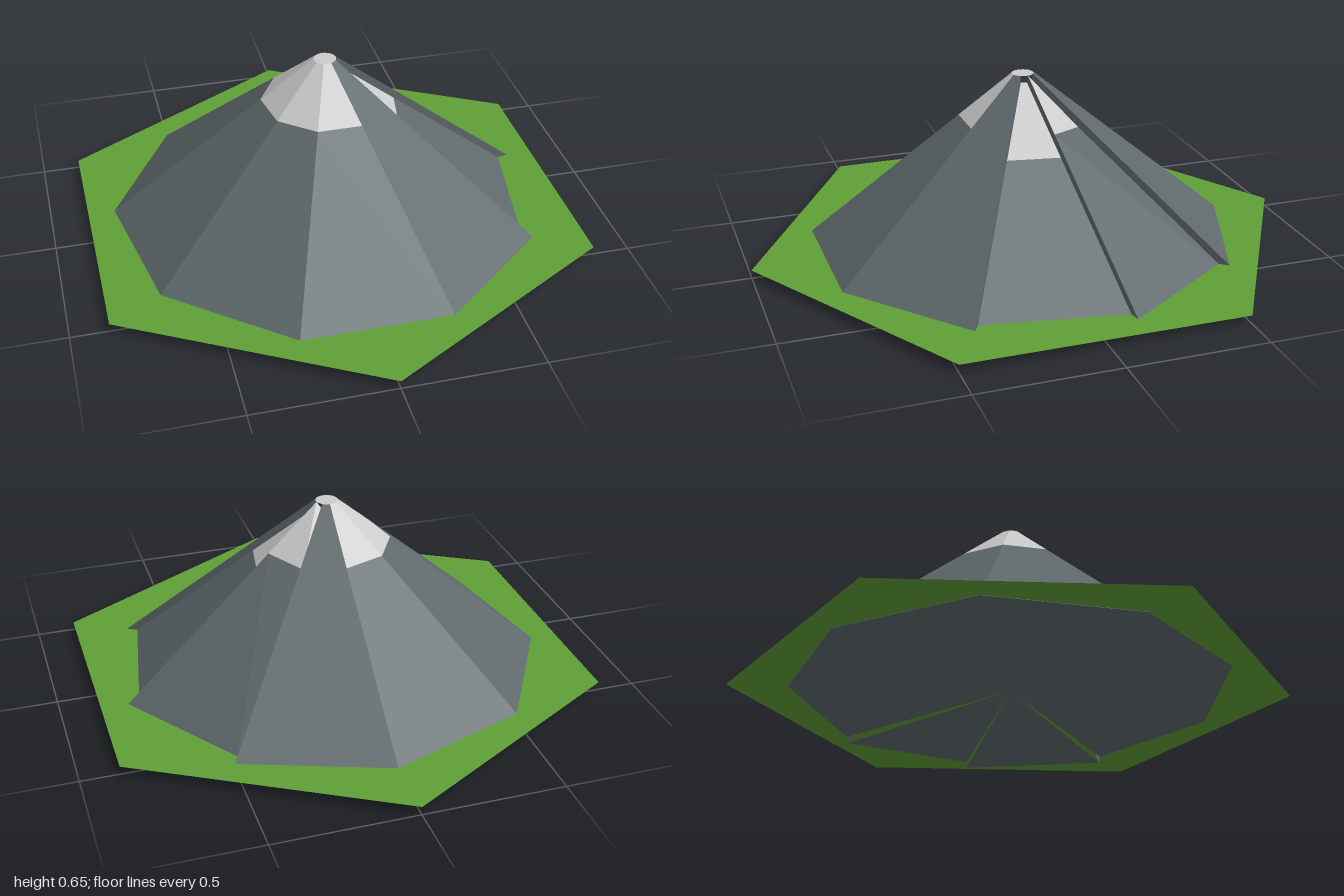
import * as THREE from 'three';

const SIDES = 9, TOP_R = 0.04, BASE_R = 0.785, TOP_Y = 0.65, BASE_Y = 0.027, GROUND_Y = 0.03;

// Point on the mountain edge k, a fraction t of the way down, lowered by drop
function edgePoint(k, t, drop = 0) {
  const a = THREE.MathUtils.degToRad(-90 + 40 * k);
  const r = THREE.MathUtils.lerp(TOP_R, BASE_R, t) - drop * 0.3;
  const y = THREE.MathUtils.lerp(TOP_Y, BASE_Y, t) - drop;
  return new THREE.Vector3(r * Math.cos(a), y, r * Math.sin(a));
}

// Edge profile from top to bottom, with the snow line at t
const profile = (k, t, drop) => [0, t, 1].map((f) => edgePoint(k, f, drop));

function facetMesh(name, points, color, side = THREE.FrontSide) {
  const geometry = new THREE.BufferGeometry().setFromPoints(points);
  geometry.computeVertexNormals();
  const mesh = new THREE.Mesh(geometry, new THREE.MeshStandardMaterial({ color, side, flatShading: true }));
  mesh.name = name;
  return mesh;
}

export function createModel() {
  const group = new THREE.Group();
  group.name = 'mountainTile';
  const ROCK = 0x5f696c, SNOW = 0xcccccc, GRASS = 0x5f9f35;
  const rock = [], snow = [], walls = [], rim = [], underside = [];
  const quad = (list, a, b, c, d) => list.push(a, b, c, a, c, d);

  // Sectors that differ from the regular slope: snow line and drop on each edge
  const special = {
    0: { t: [0.255, 0.51], drop: [0, 0], bare: true },
    1: { t: [0.24, 0.255], drop: [BASE_Y, 0] },
    2: { t: [0.325, 0.325], drop: [BASE_Y, BASE_Y] },
    3: { t: [0.255, 0.255], drop: [0, 0], bare: true },
  };
  const sectors = Array.from({ length: SIDES }, (_, k) => {
    const s = special[k] ?? { t: [0.255, 0.255], drop: [0, 0] };
    return {
      ...s,
      left: profile(k, s.t[0], s.drop[0]),
      right: profile(k + 1, s.t[1], s.drop[1]),
    };
  });

  const centre = new THREE.Vector3(0, BASE_Y, 0);
  sectors.forEach(({ left, right, bare, drop }, k) => {
    // Slopes: snow above the line, rock below
    quad(bare ? rock : snow, left[1], left[0], right[0], right[1]);
    quad(rock, left[2], left[1], right[1], right[2]);
    underside.push(centre, left[2], right[2]);

    // Rim joining a sunken sector to the regular outline
    if (drop[0] + drop[1] > 0) {
      quad(rim, left[2], edgePoint(k, 1), edgePoint(k + 1, 1), right[2]);
    }

    // Walls where neighbouring sectors do not meet
    const next = sectors[(k + 1) % SIDES];
    if (drop[1] !== next.drop[0]) {
      for (let i = 0; i < 2; i++) {
        quad(walls, right[i], right[i + 1], next.left[i + 1], next.left[i]);
      }
    }
  });

  group.add(
    facetMesh('rockSlopes', rock, ROCK),
    facetMesh('snowCap', snow, SNOW),
    facetMesh('cleftWalls', walls, ROCK, THREE.DoubleSide),
    facetMesh('sunkenRim', rim, ROCK),
    facetMesh('mountainUnderside', underside, ROCK),
  );

  // Flat disc on the summit
  const summit = new THREE.Mesh(
    new THREE.CircleGeometry(TOP_R, 18).rotateX(-Math.PI / 2),
    new THREE.MeshStandardMaterial({ color: SNOW, side: THREE.DoubleSide }),
  );
  summit.name = 'summit';
  summit.position.y = TOP_Y;

  // Hexagonal grass tile
  const grass = new THREE.Mesh(
    new THREE.CircleGeometry(1, 6, Math.PI / 2).rotateX(-Math.PI / 2),
    new THREE.MeshStandardMaterial({ color: GRASS, side: THREE.DoubleSide }),
  );
  grass.name = 'grassTile';
  grass.position.y = GROUND_Y;

  group.add(summit, grass);
  return group;
}
